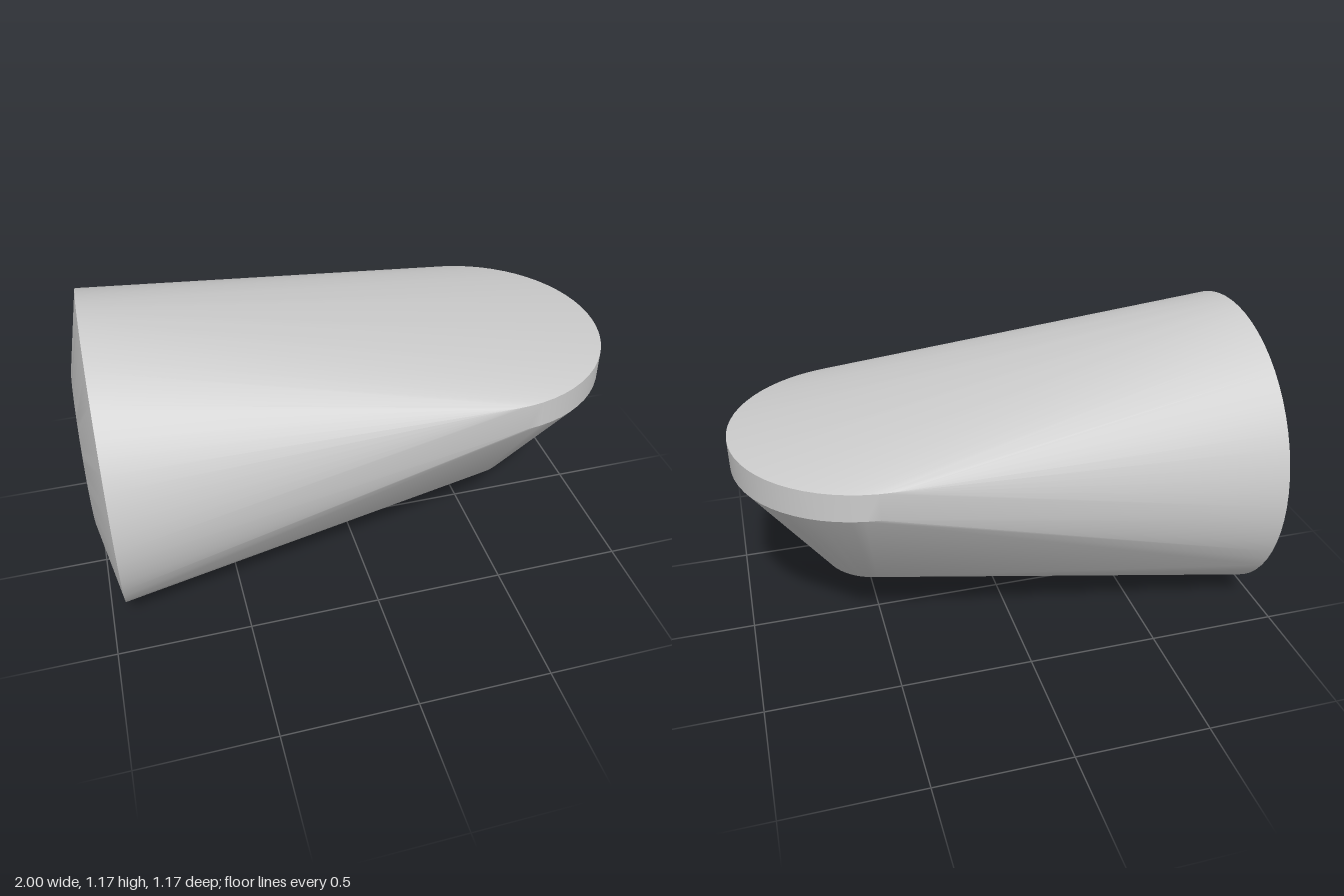
import * as THREE from 'three';
import { ConvexGeometry } from 'three/addons/geometries/ConvexGeometry.js';
import { toCreasedNormals } from 'three/addons/utils/BufferGeometryUtils.js';

const SEGMENTS = 64;

// Points of a circle, each placed by a rule from its cosine and sine
function ring(place) {
  return Array.from({ length: SEGMENTS }, (_, i) => {
    const a = (i / SEGMENTS) * Math.PI * 2;
    return place(Math.cos(a), Math.sin(a));
  });
}

// Circle standing upright, facing along x
const upright = (x, y, r) => ring((c, s) => new THREE.Vector3(x, y + r * c, r * s));

// Circle lying flat, optionally dipping towards +x
const flat = (x, y, r, dip = 0) => ring((c, s) => new THREE.Vector3(x + r * c, y - dip * c, r * s));

export function createModel() {
  const group = new THREE.Group();
  group.name = 'taperedHull';

  // One skin stretched over the round back and the flat discs of the nose
  const points = [
    ...upright(-1, 0.586, 0.295), // back cap
    ...upright(-0.94, 0.586, 0.586), // widest rim
    ...flat(0.485, 0.847, 0.515), // nose band, upper edge
    ...flat(0.485, 0.745, 0.515, 0.01), // nose band, lower edge
    ...flat(0.485, 0.292, 0.21), // foot, upper edge
    ...flat(0.485, 0.237, 0.135), // foot, lower edge
  ];
  const geometry = toCreasedNormals(new ConvexGeometry(points), 0.35);
  const body = new THREE.Mesh(geometry, new THREE.MeshStandardMaterial({ color: 0xcccccc }));
  body.name = 'body';
  group.add(body);
  return group;
}
